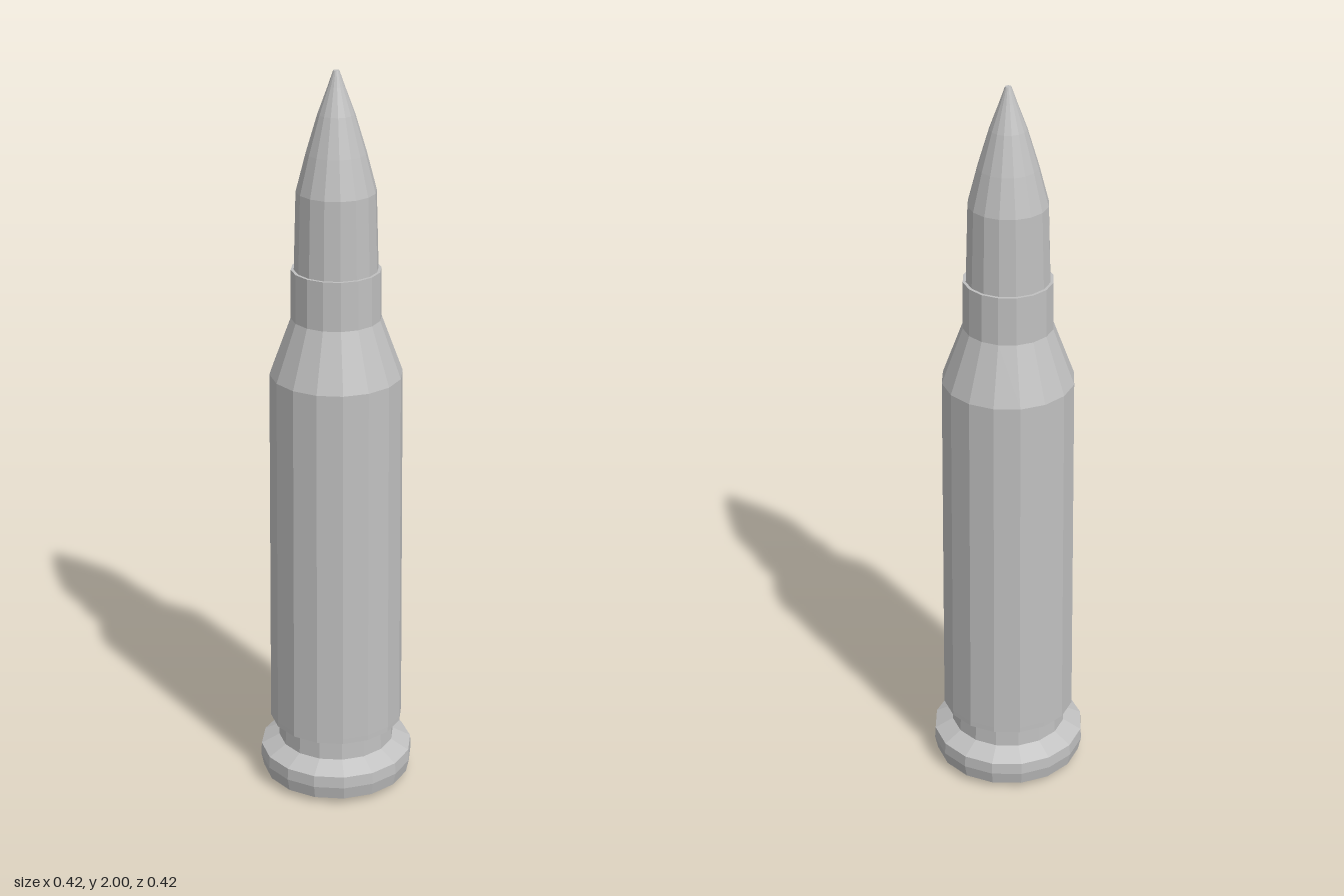
import * as THREE from 'three';

const SIDES = 16;

export function createModel() {
  const group = new THREE.Group();
  group.name = 'cartridge';
  const metal = new THREE.MeshStandardMaterial({ color: 0xc0c0c0, flatShading: true });
  metal.name = 'grey metal';

  // Turned part: profile of [radius, height], listed from the bottom upwards
  const turned = (name, profile) => {
    const points = profile.map(([r, y]) => new THREE.Vector2(r, y));
    const mesh = new THREE.Mesh(new THREE.LatheGeometry(points, SIDES), metal);
    mesh.name = name;
    group.add(mesh);
  };

  // Case: base, rim, extractor groove, tapered body, shoulder, neck and mouth
  turned('case', [
    [0, 0.018], [0.204, 0.018], [0.212, 0.055], [0.21, 0.088],
    [0.16, 0.115], [0.158, 0.168], [0.183, 0.178], [0.183, 0.192],
    [0.18, 0.62], [0.176, 1.195], [0.119, 1.35], [0.118, 1.482],
    [0.108, 1.482],
  ]);

  // Bullet: slightly tapered shank and curved nose with a tiny flat tip
  turned('bullet', [
    [0.111, 1.45], [0.11, 1.482], [0.104, 1.69], [0.078, 1.79],
    [0.048, 1.89], [0.022, 1.96], [0.008, 2], [0, 2],
  ]);

  // Primer: low collar with a raised cap under the base
  turned('primerCollar', [[0.066, 0.012], [0.083, 0.01], [0.09, 0.019]]);
  turned('primer', [[0, 0], [0.056, 0], [0.064, 0.006], [0.066, 0.018]]);

  // Ring of small raised radial ticks on the base
  for (let i = 0; i < 8; i++) {
    const angle = (i / 8) * Math.PI * 2;
    const tick = new THREE.Mesh(new THREE.BoxGeometry(0.01, 0.004, 0.028), metal);
    tick.name = 'baseTick';
    tick.position.set(Math.sin(angle) * 0.15, 0.017, Math.cos(angle) * 0.15);
    tick.rotation.y = angle;
    group.add(tick);
  }

  return group;
}
